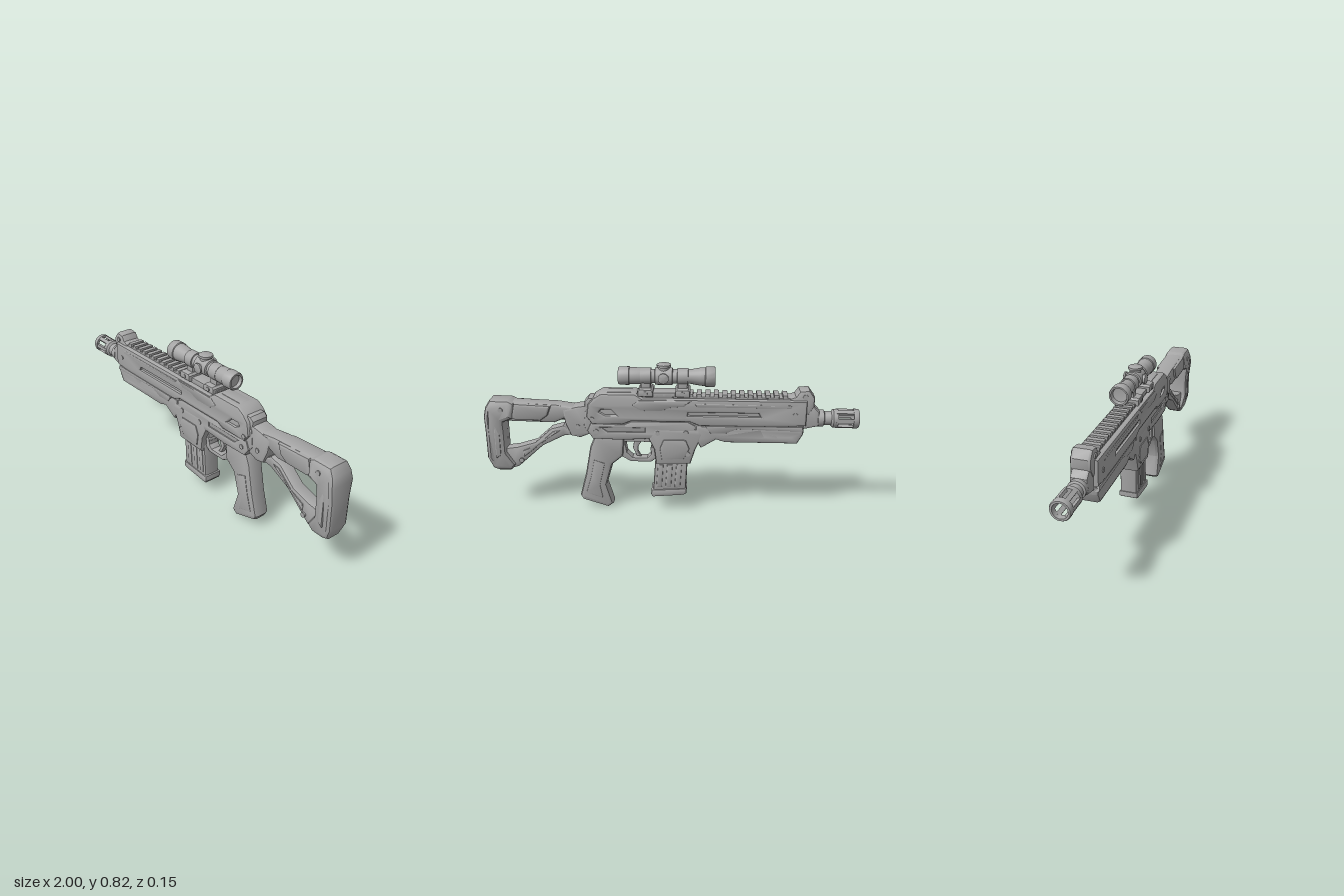
import * as THREE from 'three';
import { toCreasedNormals } from 'three/addons/utils/BufferGeometryUtils.js';

export function createModel() {
  const model = new THREE.Group();
  model.name = 'toyRifle';
  const grey = new THREE.MeshStandardMaterial({ color: 0xa6a6a6 });
  grey.name = 'grey';

  const add = (name, geo) => {
    const mesh = new THREE.Mesh(geo, grey);
    mesh.name = name;
    model.add(mesh);
    return mesh;
  };
  // flat list of x, y in hundredths of a unit
  const points = (list) => {
    const out = [];
    for (let i = 0; i < list.length; i += 2) out.push(new THREE.Vector2(list[i] / 100, list[i + 1] / 100));
    return out;
  };
  // side outline extruded to +-half in z with chamfered rims
  const slab = (name, outline, half, bevel, holes = [], widthAt = null) => {
    const shape = new THREE.Shape(points(outline));
    holes.forEach((h) => shape.holes.push(new THREE.Path(points(h))));
    const geo = new THREE.ExtrudeGeometry(shape, {
      depth: 2 * (half - bevel), bevelEnabled: true, bevelSize: bevel,
      bevelThickness: bevel, bevelOffset: -bevel, bevelSegments: 2,
    });
    geo.translate(0, 0, bevel - half);
    if (widthAt) {
      const p = geo.attributes.position;
      for (let i = 0; i < p.count; i++) p.setZ(i, p.getZ(i) * widthAt(p.getY(i)));
      geo.computeVertexNormals();
    }
    return add(name, toCreasedNormals(geo, 0.6));
  };
  const box = (name, x0, x1, y0, y1, half) => slab(name, [x0, y0, x1, y0, x1, y1, x0, y1], half, 0.004);
  // turned part along x from [x, radius] pairs
  const turned = (name, profile, y, sides = 24) => {
    const geo = new THREE.LatheGeometry(profile.map(([x, r]) => new THREE.Vector2(r, x)), sides);
    geo.rotateZ(-Math.PI / 2).translate(0, y, 0);
    return add(name, toCreasedNormals(geo, 0.6));
  };
  // pin running through the model in z
  const pin = (name, x, y, r, half) => {
    const geo = new THREE.CylinderGeometry(r, r, 2 * half, 10).rotateX(Math.PI / 2);
    add(name, toCreasedNormals(geo.translate(x, y, 0), 0.8));
  };

  // barrel and slotted muzzle
  const barrelY = 0.535;
  turned('barrel', [[-0.89, 0], [-0.89, 0.05], [-0.865, 0.05], [-0.855, 0.038], [-0.82, 0.036], [-0.815, 0.046],
    [-0.785, 0.046], [-0.78, 0.038], [-0.7, 0.038], [-0.7, 0]], barrelY);
  turned('muzzleRing', [[-0.97, 0.036], [-1, 0.038], [-1, 0.048], [-0.993, 0.052], [-0.97, 0.052], [-0.97, 0.036]], barrelY);
  for (let i = 0; i < 6; i++) {
    const bar = add('muzzleBar', new THREE.BoxGeometry(0.1, 0.022, 0.014).translate(0, 0, 0.043));
    bar.rotation.x = (i * Math.PI) / 3;
    bar.position.set(-0.93, barrelY, 0);
  }
  slab('barrelBlock', [-79, 50, -70, 48, -70, 61, -76, 61, -79, 58], 0.045, 0.015);

  // receiver core and upper side shells with sunken slots
  slab('receiverCore', [-71, 49, -18, 49, -14, 42, 41, 42, 46, 48, 45, 57, 42, 63, 36, 66, 17, 66, 15, 64, -71, 64], 0.056, 0.015);
  slab('upperShell', [-72, 51, -60, 50, -16, 50, -11, 52, 20, 52, 25, 50, 41, 50, 44, 54, 43, 61, 40, 64.5, 36, 67, 18, 67, 14, 64.5, -72, 64.5],
    0.07, 0.013, [[-48, 55.7, -10, 55.7, -10, 57.3, -47, 57.3], [28, 55.3, 34, 55.3, 37, 57, 36, 58.2, 31, 58.2]]);
  slab('receiverPanel', [-12, 64, 16, 64, 20, 61, 15, 58, 4, 58, -1, 60, -8, 60.5], 0.074, 0.01);
  slab('foreStrip', [-64, 60.5, -15, 60.5, -13, 62.5, -64, 62.5], 0.072, 0.006);
  slab('lowerReceiver', [-14, 50, -14, 43, 10, 42, 25, 41, 41, 41.5, 44, 46, 42, 50.5, 24, 50, 20, 52, -10, 52], 0.064, 0.012,
    [[13, 46, 33, 46, 36, 48, 13, 48]]);
  slab('rearBump', [40, 56, 45, 56, 45, 62, 43, 64, 40, 64], 0.05, 0.01);
  slab('rearRidge', [17, 66, 36, 66, 33, 67.3, 20, 67.3], 0.035, 0.004);

  // lower handguard with three vents
  const vents = [-62, -55, -48].map((x) => [x, 45.5, x + 3.5, 45.5, x + 4.5, 47, x + 1, 47]);
  slab('handguardCore', [-69, 50, -69, 43, -18, 43, -16, 50], 0.05, 0.01);
  slab('handguard', [-71, 50, -71, 46, -68, 40.5, -30, 40.5, -25, 42, -17, 37, -14, 42, -14, 50], 0.064, 0.018, vents);
  slab('handguardRail', [-71, 47.8, -36, 48.6, -30, 46, -22, 46, -19, 50, -70, 50.5], 0.068, 0.006);

  // front sight block
  slab('frontSight', [-76, 61, -76, 66, -73, 70, -68, 69.5, -66, 66.5, -63, 65.5, -63, 62, -67, 58, -73, 56], 0.052, 0.015);
  pin('sightPin', -0.71, 0.665, 0.014, 0.058);

  // toothed top rail
  box('railBase', -64, 18, 63.5, 65.5, 0.042);
  for (let x = -62; x < 16; x += 4.5) box('railTooth', x, x + 2.6, 65, 67, 0.045);

  // magazine well and magazine
  slab('magazineWell', [-18, 45, -14, 36, -11.5, 28, 7, 27.5, 8, 36, 11, 42, 8, 48, -16, 48], 0.066, 0.014);
  slab('wellPanel', [-11, 37, -8, 31, 4, 30.5, 5, 37, 3, 42, -9, 42], 0.072, 0.008);
  slab('magazine', [-10, 31, -9, 10, 9, 9, 7.5, 31], 0.047, 0.012);
  for (let i = 0; i < 3; i++) {
    const x = -7 + i * 5;
    slab('magazineRib', [x, 27, x + 0.9, 13.5, x + 4.2, 13.2, x + 3.2, 27], 0.052, 0.008);
  }
  slab('magazineFoot', [-9.6, 13, -9.5, 10, -8, 9, 9, 7.5, 10, 9, 9.8, 11.8], 0.054, 0.01);

  // trigger and guard
  slab('triggerGuard', [6, 43, 6.5, 30, 10, 27.5, 21, 27.5, 27, 31, 28, 43], 0.032, 0.008,
    [[9.8, 39, 10, 32, 12, 30, 20, 30, 23, 33, 24, 39]]);
  slab('trigger', [14.5, 40, 19, 40, 20, 35, 18, 30.5, 15.5, 30, 17.2, 33, 17, 36], 0.014, 0.004);

  // pistol grip
  slab('grip', [24, 43, 40, 43, 43, 36, 46, 20, 49.5, 7, 48, 4.5, 34, 0.2, 31, 2.5, 34.5, 14, 31, 26, 25, 31], 0.049, 0.022);
  slab('gripPanel', [35, 27, 41, 29, 43, 19, 46, 9, 36.5, 6, 38, 14], 0.053, 0.008);

  // stock: joint, tube, cheek rest, strut and butt
  slab('stockJoint', [42, 44, 48, 41.5, 53, 42.5, 56, 50, 57, 57, 50, 59, 43, 60], 0.05, 0.014);
  turned('stockTube', [[0.42, 0], [0.42, 0.042], [0.9, 0.042], [0.9, 0]], 0.545, 16);
  slab('cheekRest', [47, 58, 60, 60, 85, 61, 88, 50, 62, 49.5, 54, 53], 0.046, 0.016);
  slab('cheekPanel', [63, 59.5, 83, 60.5, 85, 52, 82, 51, 69, 51, 65, 54], 0.06, 0.014);
  slab('stockStrut', [50, 43, 57, 48, 64, 46, 73, 38, 83, 35, 90, 34, 88, 22, 83, 23.5, 69, 36, 57, 42], 0.036, 0.01);
  slab('strutPanel', [59, 45, 63, 44.5, 72, 36.5, 80, 33, 80, 29, 70, 37], 0.042, 0.008);
  const buttWidth = (y) => THREE.MathUtils.clamp(
    y > 0.54 ? 1 - (y - 0.54) * 3 : y > 0.44 ? 1 - (0.54 - y) * 1.6 : 0.84 - Math.max(0, 0.3 - y) * 3, 0.5, 1);
  slab('butt', [83, 60.5, 86, 62, 96, 62, 98.5, 58, 99.5, 53, 99.5, 44, 99.5, 29, 97, 22.5, 94, 21.3, 87, 21.5, 84.5, 25,
    89, 32, 89, 44, 89, 50, 84, 52], 0.076, 0.022, [], buttWidth);
  slab('buttPanel', [91.5, 54, 94.5, 54, 94.5, 29, 91.5, 31], 0.067, 0.008);

  // scope with mounts and knobs
  const scopeY = 0.753;
  turned('scopeBody', [[-0.21, 0], [-0.215, 0.038], [-0.24, 0.042], [-0.24, 0.05], [-0.235, 0.053], [-0.19, 0.053], [-0.187, 0.049],
    [-0.16, 0.047], [-0.11, 0.038], [0.12, 0.037], [0.16, 0.044], [0.21, 0.045], [0.213, 0.049], [0.262, 0.048], [0.27, 0.044],
    [0.27, 0.035], [0.25, 0.033], [0.25, 0]], scopeY);
  turned('scopeCollar', [[-0.02, 0.03], [-0.015, 0.046], [0.075, 0.046], [0.08, 0.03]], scopeY);
  const knob = (name, r, h) => add(name, toCreasedNormals(new THREE.LatheGeometry(
    [[0, 0], [r * 0.8, 0], [r * 0.8, h * 0.5], [r, h * 0.55], [r, h * 0.9], [r * 0.85, h], [0, h]]
      .map(([x, y]) => new THREE.Vector2(x, y)), 16), 0.6));
  knob('topKnob', 0.038, 0.035).position.set(0.03, 0.785, 0);
  [1, -1].forEach((side) => {
    const k = knob('sideKnob', 0.028, 0.024);
    k.rotation.x = (side * Math.PI) / 2;
    k.position.set(0.03, scopeY, side * 0.037);
  });
  box('mountPlate', -10, 17, 65, 67.5, 0.045);
  [-7, 12.5].forEach((x) => {
    slab('mountClamp', [x - 4, 65.5, x + 4, 65.5, x + 4, 68.5, x + 3, 69.5, x - 3, 69.5, x - 4, 68.5], 0.064, 0.009);
    box('mountPost', x - 2.5, x + 2.5, 68, 74, 0.03);
    turned('scopeRing', [[x / 100 - 0.03, 0.03], [x / 100 - 0.028, 0.044], [x / 100 + 0.028, 0.044], [x / 100 + 0.03, 0.03]], scopeY);
    pin('clampBolt', x / 100, 0.675, 0.012, 0.068);
  });

  // bolts on both sides
  [[-0.66, 0.57, 0.074], [-0.09, 0.46, 0.07], [0.06, 0.455, 0.07], [0.39, 0.46, 0.069], [0.41, 0.53, 0.074], [0.49, 0.48, 0.055],
    [0.09, 0.35, 0.036], [0.81, 0.275, 0.046], [0.9, 0.57, 0.071], [-0.1, 0.34, 0.07]]
    .forEach(([x, y, half]) => pin('bolt', x, y, 0.013, half));

  return model;
}
